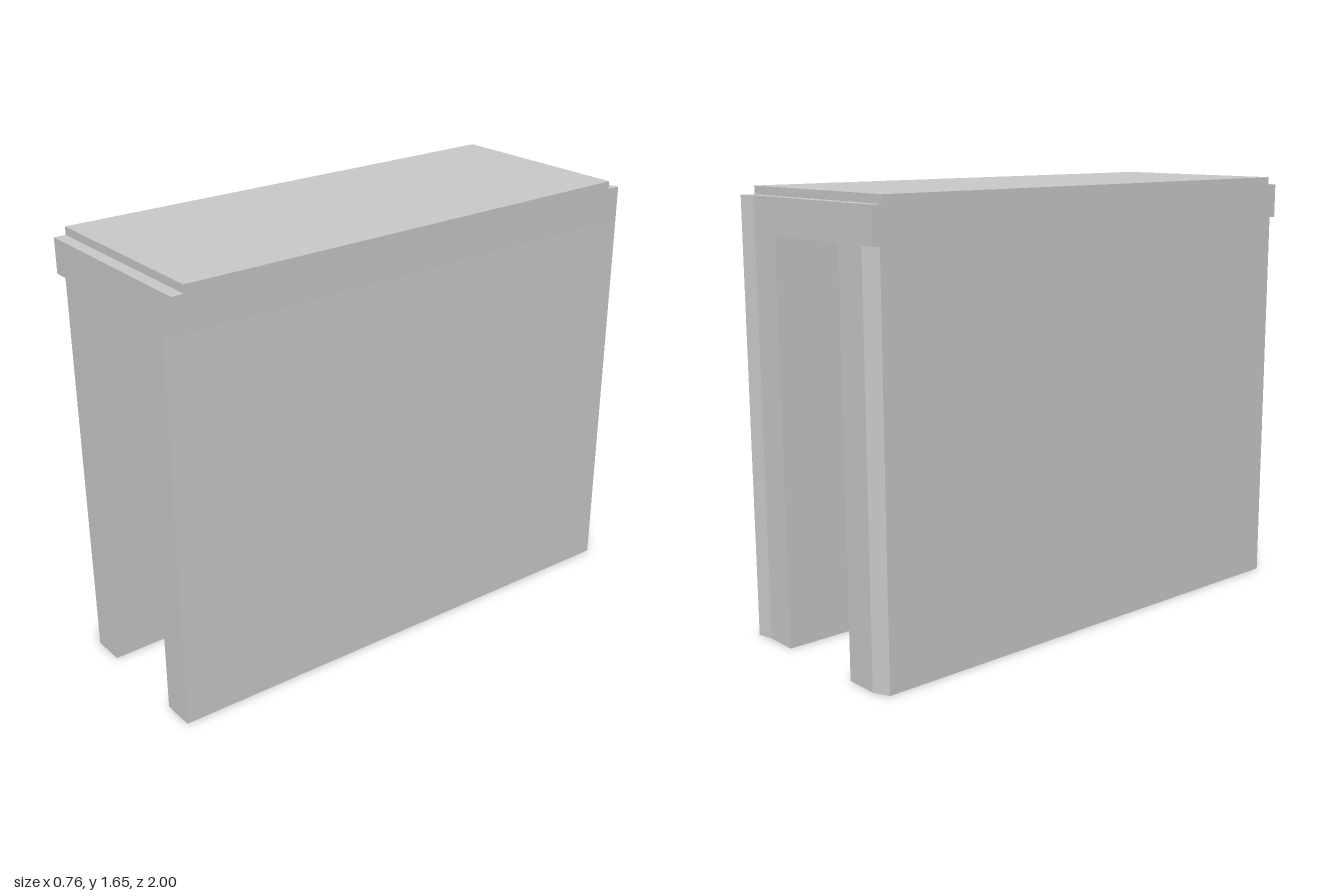
import * as THREE from 'three';

const material = new THREE.MeshStandardMaterial({ color: 0xcccccc, flatShading: true });

// Upright prism from a plan outline of [x, z] corners, between two heights
function prism(name, plan, bottom, top) {
  const shape = new THREE.Shape(plan.map(([x, z]) => new THREE.Vector2(x, -z)));
  const geometry = new THREE.ExtrudeGeometry(shape, { depth: top - bottom, bevelEnabled: false });
  geometry.rotateX(-Math.PI / 2).translate(0, bottom, 0);
  const mesh = new THREE.Mesh(geometry, material);
  mesh.name = name;
  return mesh;
}

export function createModel() {
  const group = new THREE.Group();
  group.name = 'archBlock';
  const half = 0.38, inner = 0.19, shoulder = 0.32;
  const wallTop = 1.49, deckTop = 1.62, panelTop = 1.65, back = -0.985;

  // Left wall: outer face tapers towards the front, flared back corner
  group.add(prism('leftWall', [
    [inner, 1], [0.315, 1], [half, -1], [shoulder, back], [inner, back],
  ], 0, wallTop));

  // Right wall: straight outer face with slightly chamfered ends
  group.add(prism('rightWall', [
    [-inner, 1], [-inner, back], [-shoulder, back], [-half, -0.958], [-half, 0.97], [-shoulder, 1],
  ], 0, wallTop));

  // Deck bridging the two walls
  group.add(prism('deck', [
    [-half, 1], [half, 1], [half, -1], [shoulder, back], [-half, back],
  ], wallTop, deckTop));

  // Thin raised panel, stepped in at both ends
  group.add(prism('topPanel', [
    [-half, 0.955], [half, 0.955], [half, -0.945], [-half, -0.945],
  ], deckTop, panelTop));

  return group;
}
